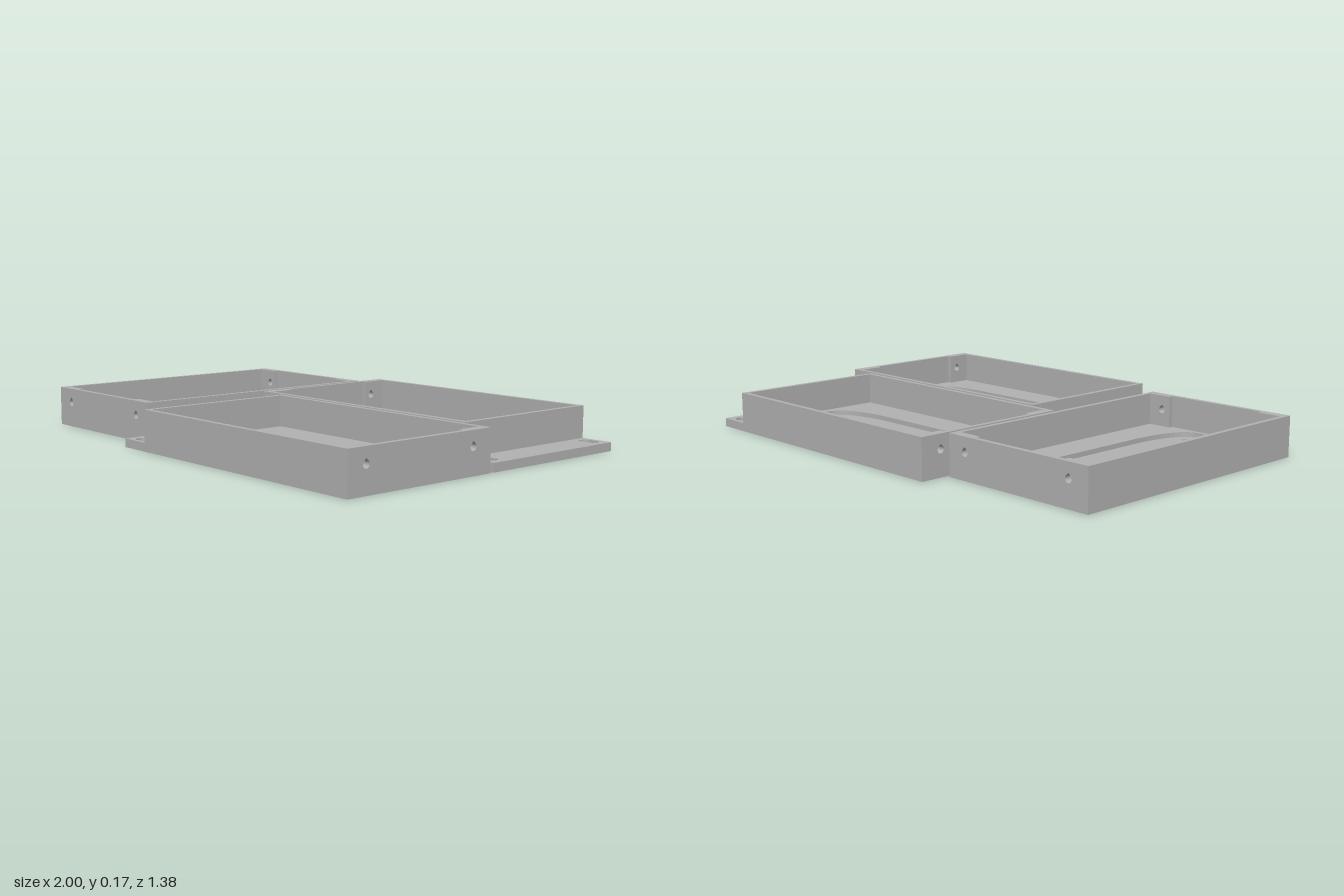
import * as THREE from 'three';

const H = 0.165, FLOOR = 0.035, RECESS = 0.015, WALL = 0.02;
const V0 = -0.325, V1 = 0.358;      // tray width limits
const END = 0.575, FLANGED_END = 0.59, FLANGE_TIP = 0.727;

// small fixing holes in the tray floor
const screwHoles = [
  [-0.471, -0.076], [-0.471, 0.096], [-0.294, 0.079], [-0.139, -0.076], [-0.077, 0.079],
  [0.078, -0.076], [0.141, 0.079], [0.294, -0.076], [0.409, -0.092], [0.388, 0.109],
];

const material = new THREE.MeshStandardMaterial({ color: 0xb2b2b2 });
material.name = 'plain grey';

function rect(x0, y0, x1, y1) {
  return new THREE.Shape([
    new THREE.Vector2(x0, y0), new THREE.Vector2(x1, y0),
    new THREE.Vector2(x1, y1), new THREE.Vector2(x0, y1),
  ]);
}

function circle(x, y, r) {
  return new THREE.Path().absarc(x, y, r, 0, Math.PI * 2, false);
}

function slot(x, y) {
  const p = new THREE.Path(), r = 0.027, h = 0.013;
  p.absarc(x + h, y, r, -Math.PI / 2, Math.PI / 2, false);
  p.absarc(x - h, y, r, Math.PI / 2, Math.PI * 1.5, false);
  p.closePath();
  return p;
}

// round screw hole with a pointed roof
function teardrop(x, y) {
  const p = new THREE.Path(), r = 0.015;
  p.absarc(x, y, r, Math.PI * 0.75, Math.PI * 2.25, false);
  p.lineTo(x, y + r * 1.414);
  p.closePath();
  return p;
}

// rounded long recess
function recessOutline() {
  const p = new THREE.Path();
  const u = 0.537, a = 0.24, t = -0.16, b = 0.193, c = -0.045, d = 0.078;
  p.moveTo(-a, t);
  p.lineTo(a, t);
  p.quadraticCurveTo(u, t, u, c);
  p.lineTo(u, d);
  p.quadraticCurveTo(u, b, a, b);
  p.lineTo(-a, b);
  p.quadraticCurveTo(-u, b, -u, d);
  p.lineTo(-u, c);
  p.quadraticCurveTo(-u, t, -a, t);
  return p;
}

function add(group, name, geometry) {
  const mesh = new THREE.Mesh(geometry, material);
  mesh.name = name;
  group.add(mesh);
}

// horizontal plate between two heights
function plate(shape, y0, y1) {
  return new THREE.ExtrudeGeometry(shape, { depth: y1 - y0, bevelEnabled: false, curveSegments: 20 })
    .rotateX(Math.PI / 2).translate(0, y1, 0);
}

// upright plate across the tray, x0 to x1
function upright(shape, x0, x1) {
  return new THREE.ExtrudeGeometry(shape, { depth: x1 - x0, bevelEnabled: false, curveSegments: 12 })
    .rotateY(-Math.PI / 2).translate(x1, 0, 0);
}

// flange: -1 or +1 for the end that carries a mounting flange, 0 for none
function makeTray(name, flange) {
  const tray = new THREE.Group();
  tray.name = name;
  const boxMin = flange < 0 ? -FLANGED_END : -END;
  const boxMax = flange > 0 ? FLANGED_END : END;
  const plateMin = flange < 0 ? -FLANGE_TIP : -END;
  const plateMax = flange > 0 ? FLANGE_TIP : END;

  // floor in two layers, the upper one opened by the recess
  const lower = rect(plateMin, V0, plateMax, V1);
  const upper = rect(plateMin, V0, plateMax, V1);
  for (const u of [-0.217, 0, 0.217]) lower.holes.push(circle(u, 0, 0.09));
  for (const [u, v] of screwHoles) lower.holes.push(circle(u, v, 0.0145));
  upper.holes.push(recessOutline());
  if (flange) {
    for (const v of [-0.278, 0.313]) {
      lower.holes.push(slot(flange * 0.656, v));
      upper.holes.push(slot(flange * 0.656, v));
    }
  }
  add(tray, 'lowerFloor', plate(lower, 0, RECESS));
  add(tray, 'recessedFloor', plate(upper, RECESS, FLOOR));

  // long side walls
  add(tray, 'backSideWall', plate(rect(boxMin, V0, boxMax, V0 + WALL), FLOOR, H));
  add(tray, 'frontSideWall', plate(rect(boxMin, V1 - WALL, boxMax, V1), FLOOR, H));

  // end walls; unflanged ends get screw holes and thick corner bosses
  for (const s of [-1, 1]) {
    const outer = s < 0 ? boxMin : boxMax;
    const span = (from, to) => [outer - s * from, outer - s * to].sort((a, b) => a - b);
    const wall = rect(V0 + WALL, FLOOR, V1 - WALL, H);
    if (s !== flange) {
      for (const [v, a, b] of [[-0.235, V0 + WALL, V0 + 0.123], [0.275, V1 - 0.123, V1 - WALL]]) {
        wall.holes.push(teardrop(v, 0.105));
        const boss = rect(a, FLOOR, b, H);
        boss.holes.push(teardrop(v, 0.105));
        add(tray, 'cornerBoss', upright(boss, ...span(WALL, WALL * 2)));
      }
    }
    add(tray, 'endWall', upright(wall, ...span(0, WALL)));
  }
  return tray;
}

export function createModel() {
  const model = new THREE.Group();
  model.name = 'panelTrays';

  const plain = makeTray('plainTray', 0);
  plain.rotation.y = Math.PI / 2;
  plain.position.set(-0.675, 0, 0);

  const back = makeTray('backFlangedTray', 1);
  back.position.set(0.273, 0, -0.368);

  const front = makeTray('frontFlangedTray', -1);
  front.position.set(0.425, 0, 0.332);

  model.add(plain, back, front);
  return model;
}
